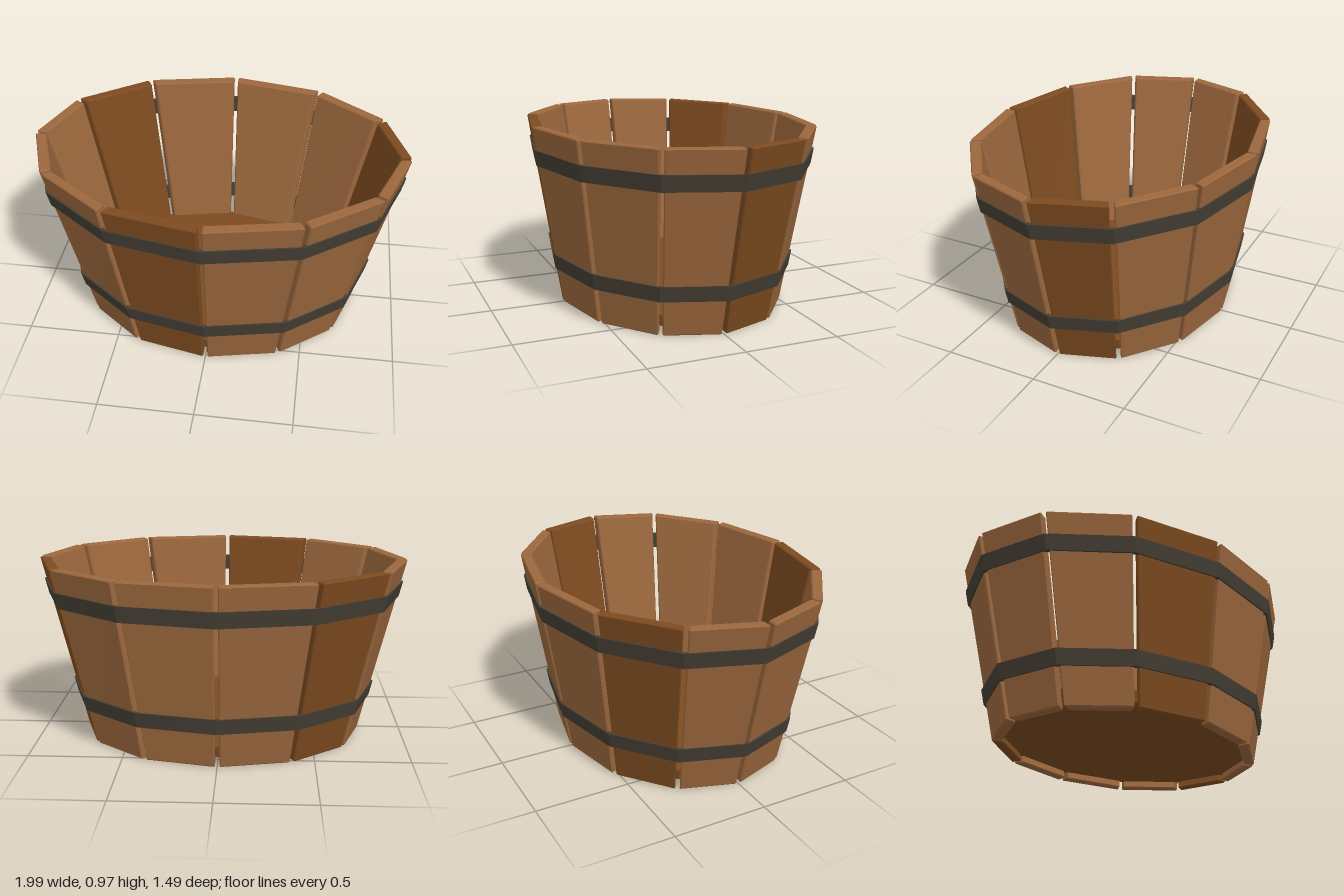
import * as THREE from 'three';

const HEIGHT = 0.97;
const SIDES = 12;
const GAP = 0.012;    // half the slit between two staves
const WALL = 0.058;   // stave thickness
const BEVEL = 0.006;

// Corner of the flaring twelve-sided oval at height y, pushed outward by offset
function ovalPoint(i, y, offset = 0) {
  const t = y / HEIGHT;
  const angle = (i / SIDES) * Math.PI * 2;
  return new THREE.Vector3(
    (0.769 + 0.234 * t + offset) * Math.cos(angle), y,
    (0.605 + 0.145 * t + offset) * Math.sin(angle));
}

const ovalLoop = (y, offset) =>
  Array.from({ length: SIDES }, (_, i) => ovalPoint(i, y, offset));

// Joins equal-length loops with flat-shaded faces; optionally closes both ends
function loft(loops, capped) {
  const out = [];
  const tri = (...points) => points.forEach((p) => out.push(p.x, p.y, p.z));
  const n = loops[0].length;
  for (let k = 0; k < loops.length - 1; k++) {
    const low = loops[k], high = loops[k + 1];
    for (let j = 0; j < n; j++) {
      const m = (j + 1) % n;
      tri(low[j], high[j], low[m]);
      tri(low[m], high[j], high[m]);
    }
  }
  if (capped) {
    const bottom = loops[0], top = loops[loops.length - 1];
    for (let j = 1; j < n - 1; j++) {
      tri(bottom[0], bottom[j], bottom[j + 1]);
      tri(top[0], top[j + 1], top[j]);
    }
  }
  const geometry = new THREE.BufferGeometry();
  geometry.setAttribute('position', new THREE.Float32BufferAttribute(out, 3));
  geometry.computeVertexNormals();
  return geometry;
}

// Eight-point stave section with bevelled corners; end sections are drawn in
function staveSection(i, y, isEnd) {
  const o0 = ovalPoint(i, y), o1 = ovalPoint(i + 1, y);
  const i0 = ovalPoint(i, y, -WALL), i1 = ovalPoint(i + 1, y, -WALL);
  const along = o1.clone().sub(o0).normalize().multiplyScalar(GAP);
  o0.add(along); i0.add(along);
  o1.sub(along); i1.sub(along);
  const corners = [o0, o1, i1, i0];
  return corners.flatMap((c, k) => {
    const toPrev = corners[(k + 3) % 4].clone().sub(c).setLength(BEVEL);
    const toNext = corners[(k + 1) % 4].clone().sub(c).setLength(BEVEL);
    if (isEnd) {
      const inset = c.clone().add(toPrev).add(toNext);
      return [inset, inset.clone()];
    }
    return [c.clone().add(toPrev), c.clone().add(toNext)];
  });
}

function staveGeometry(i) {
  return loft([
    staveSection(i, 0, true),
    staveSection(i, BEVEL, false),
    staveSection(i, HEIGHT - BEVEL, false),
    staveSection(i, HEIGHT, true),
  ], true);
}

// Closed band that follows the slope of the staves
function hoopGeometry(y0, y1) {
  const outer = 0.009, inner = -0.012;
  return loft([
    ovalLoop(y0, outer), ovalLoop(y1, outer),
    ovalLoop(y1, inner), ovalLoop(y0, inner), ovalLoop(y0, outer),
  ], false);
}

export function createModel() {
  const lightWood = new THREE.MeshStandardMaterial({ color: 0x9c683e });
  lightWood.name = 'light wood';
  const darkWood = new THREE.MeshStandardMaterial({ color: 0x7d4b20 });
  darkWood.name = 'dark wood';
  const iron = new THREE.MeshStandardMaterial({ color: 0x443e34 });
  iron.name = 'dark iron';

  const tub = new THREE.Group();
  tub.name = 'woodenTub';
  const add = (name, geometry, material, parent = tub) => {
    const mesh = new THREE.Mesh(geometry, material);
    mesh.name = name;
    parent.add(mesh);
  };

  // Staves, every fourth one darker
  const staves = new THREE.Group();
  staves.name = 'staves';
  tub.add(staves);
  for (let i = 0; i < SIDES; i++) {
    add(`stave${i + 1}`, staveGeometry(i), i % 4 === 3 ? darkWood : lightWood, staves);
  }

  // Raised floor, let slightly into the staves
  add('floor', loft([ovalLoop(0.04, -0.045), ovalLoop(0.1, -0.045)], true), darkWood);

  // Metal bands
  add('lowerHoop', hoopGeometry(0.193, 0.275), iron);
  add('upperHoop', hoopGeometry(0.763, 0.847), iron);

  return tub;
}
